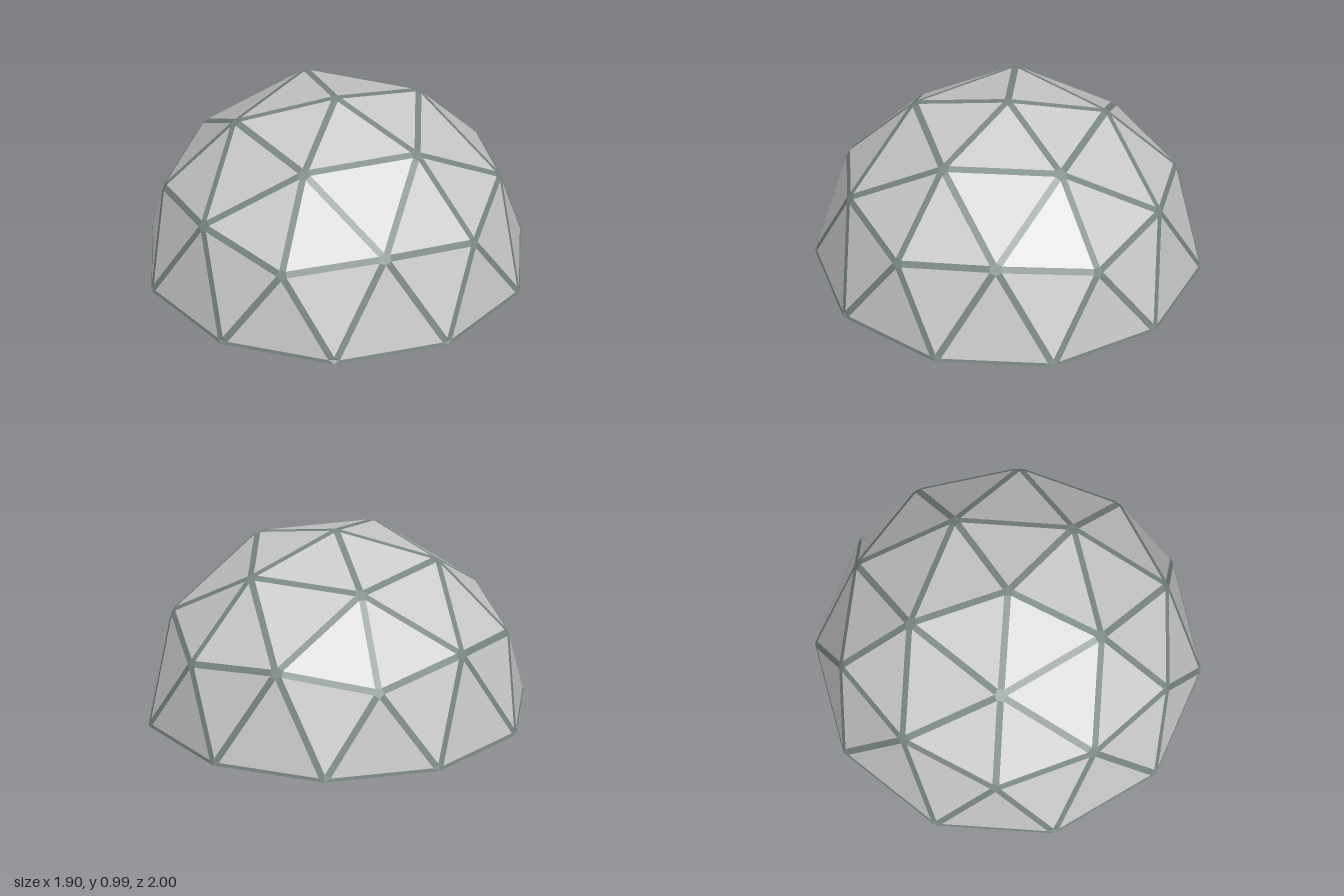
import * as THREE from 'three';

const STRUT = 0.036; // strut width

const ring = (y, startDeg, count) => Array.from({ length: count }, (_, i) => {
  const a = THREE.MathUtils.degToRad(startDeg + (i * 360) / count);
  const r = Math.sqrt(1 - y * y);
  return new THREE.Vector3(r * Math.cos(a), y, r * Math.sin(a));
});

// Collects flat triangles, each turned to face away from the dome's centre
class Triangles {
  positions = [];
  add(a, b, c) {
    const n = b.clone().sub(a).cross(c.clone().sub(a));
    const out = a.clone().add(b).add(c);
    const order = n.dot(out) < 0 ? [a, c, b] : [a, b, c];
    order.forEach((p) => this.positions.push(p.x, p.y, p.z));
  }
  mesh(name, color) {
    const g = new THREE.BufferGeometry();
    g.setAttribute('position', new THREE.Float32BufferAttribute(this.positions, 3));
    g.computeVertexNormals();
    const m = new THREE.Mesh(g, new THREE.MeshStandardMaterial({ color, flatShading: true }));
    m.name = name;
    return m;
  }
}

// Triangle shrunk towards its incentre by half a strut
function inset([a, b, c]) {
  const la = b.distanceTo(c), lb = c.distanceTo(a), lc = a.distanceTo(b);
  const sum = la + lb + lc;
  const centre = new THREE.Vector3()
    .addScaledVector(a, la / sum).addScaledVector(b, lb / sum).addScaledVector(c, lc / sum);
  const area = b.clone().sub(a).cross(c.clone().sub(a)).length() / 2;
  const k = STRUT / 2 / ((2 * area) / sum);
  return [a, b, c].map((p) => p.clone().lerp(centre, k));
}

export function createModel() {
  const group = new THREE.Group();
  group.name = 'geodesicDome';

  // Node rings from the crown to the ground
  const top = new THREE.Vector3(0, 1, 0);
  const A = ring(0.8507, 0, 5);
  const B = ring(0.5257, 36, 5);
  const C = ring(0.4472, 0, 5);
  const D = ring(0, 18, 10);
  const nodes = [top, ...A, ...B, ...C, ...D];

  const faces = [];
  for (let k = 0; k < 5; k++) {
    const n = (k + 1) % 5, p = (k + 4) % 5;
    const d0 = D[(2 * k + 9) % 10], d1 = D[2 * k], d2 = D[2 * k + 1];
    faces.push(
      [top, A[k], A[n]], [A[k], B[k], A[n]],
      [A[k], C[k], B[k]], [A[k], B[p], C[k]],
      [C[k], d0, d1], [C[k], d1, B[k]],
      [B[k], d1, d2], [B[k], d2, C[n]],
    );
  }

  // Panels, noting their corners by edge and by node
  const panels = new Triangles();
  const edges = new Map();
  const corners = new Map(nodes.map((v) => [v, []]));
  for (const face of faces) {
    const small = inset(face);
    panels.add(...small);
    for (let i = 0; i < 3; i++) {
      const j = (i + 1) % 3;
      corners.get(face[i]).push(small[i]);
      const ends = [[nodes.indexOf(face[i]), small[i]], [nodes.indexOf(face[j]), small[j]]]
        .sort((s, t) => s[0] - t[0]);
      const key = ends.map((e) => e[0]).join('-');
      if (!edges.has(key)) edges.set(key, []);
      edges.get(key).push(ends.map((e) => e[1]));
    }
  }

  // Struts bridge neighbouring panels, or run down to the ground edge
  const struts = new Triangles();
  for (const [key, sides] of edges) {
    const [s, t = key.split('-').map((i) => nodes[i])] = sides;
    struts.add(s[0], s[1], t[1]);
    struts.add(s[0], t[1], t[0]);
  }

  // Small flat caps where struts meet
  const joints = new Triangles();
  for (const [v, list] of corners) {
    const points = D.includes(v) ? [v, ...list] : list;
    const centre = points.reduce((s, q) => s.add(q), new THREE.Vector3()).divideScalar(points.length);
    const side = new THREE.Vector3(0.3, 0.5, 0.8).cross(v).normalize();
    const up = v.clone().cross(side);
    const angle = (q) => {
      const d = q.clone().sub(centre);
      return Math.atan2(d.dot(up), d.dot(side));
    };
    points.sort((q, r) => angle(q) - angle(r));
    for (let i = 1; i < points.length - 1; i++) joints.add(points[0], points[i], points[i + 1]);
  }

  // Flat ten-sided floor
  const frameColor = 0x7a8883;
  const floor = new THREE.Mesh(
    new THREE.CircleGeometry(1, 10, Math.PI / 10).rotateX(Math.PI / 2),
    new THREE.MeshStandardMaterial({ color: frameColor, flatShading: true }),
  );
  floor.name = 'floor';

  group.add(panels.mesh('panels', 0xcccccc), struts.mesh('struts', frameColor),
    joints.mesh('joints', frameColor), floor);
  return group;
}
